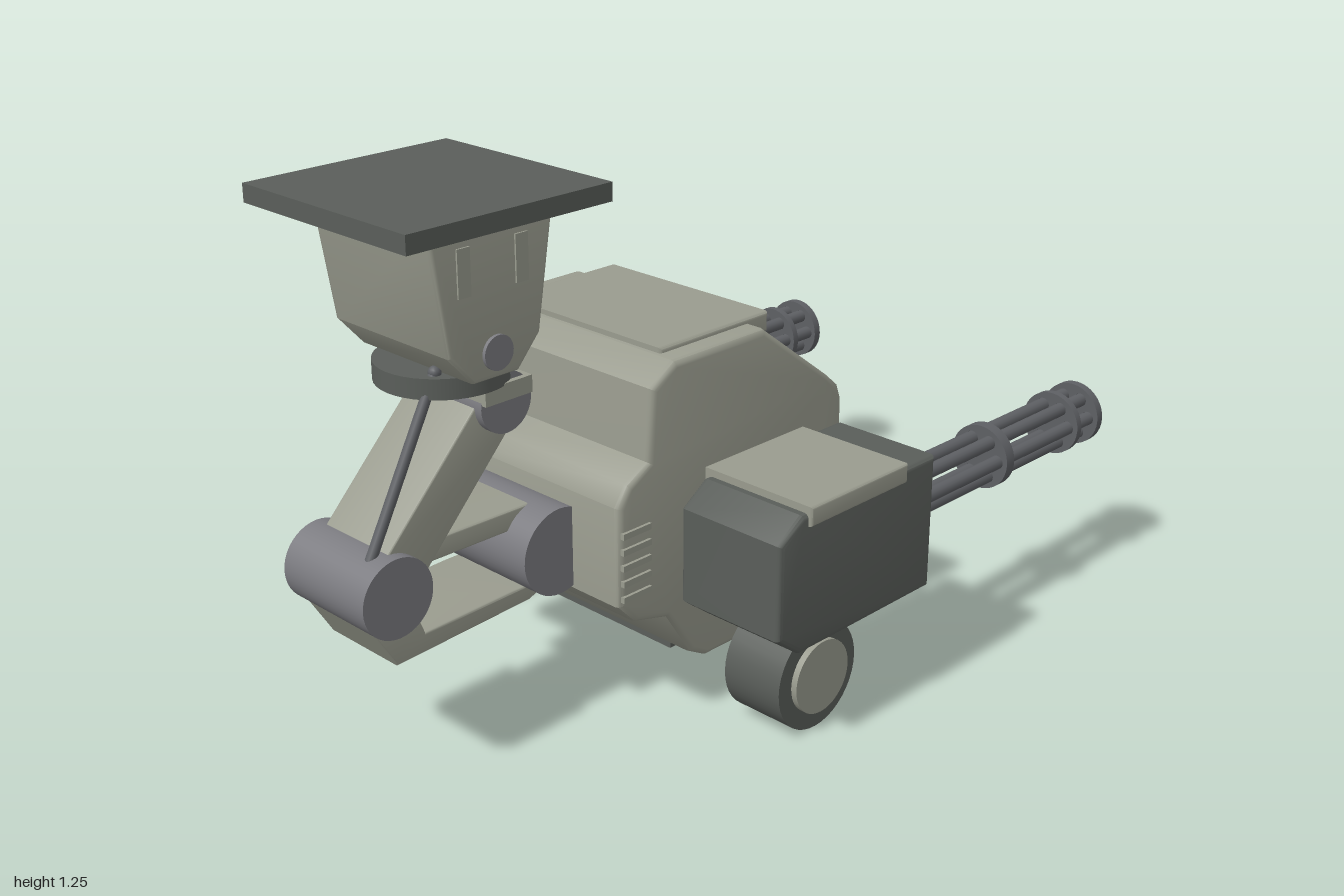
import * as THREE from 'three';
import { toCreasedNormals } from 'three/addons/utils/BufferGeometryUtils.js';

const mat = (name, color) => {
  const m = new THREE.MeshStandardMaterial({ color });
  m.name = name;
  return m;
};

export function createModel() {
  const armour = mat('paleArmour', 0x9a9c8f);
  const dark = mat('darkArmour', 0x5a5e5a);
  const steel = mat('jointSteel', 0x7c7c81);
  const gunmetal = mat('gunmetal', 0x5e6064);
  const bore = mat('bore', 0x333537);
  const pink = mat('pinkMarking', 0xc05070);

  const model = new THREE.Group();
  model.name = 'turret';

  const add = (name, geometry, material, parent = model) => {
    const m = new THREE.Mesh(geometry, material);
    m.name = name;
    parent.add(m);
    return m;
  };

  // Box given by its limits on each axis
  const box = (name, material, [x0, x1], [y0, y1], [z0, z1], parent) => {
    const m = add(name, new THREE.BoxGeometry(x1 - x0, y1 - y0, z1 - z0), material, parent);
    m.position.set((x0 + x1) / 2, (y0 + y1) / 2, (z0 + z1) / 2);
    return m;
  };

  // Cylinder lying along x, from x0 to x1
  const axle = (name, material, r, x0, x1, y, z, parent) => {
    const g = new THREE.CylinderGeometry(r, r, x1 - x0, 40).rotateZ(Math.PI / 2);
    const m = add(name, g, material, parent);
    m.position.set((x0 + x1) / 2, y, z);
    return m;
  };

  // Side profile of [z, y] points, extruded across x with rounded rims
  const slab = (name, material, points, x0, x1, bevel, parent) => {
    const shape = new THREE.Shape(points.map(([z, y]) => new THREE.Vector2(z, y)));
    const g = new THREE.ExtrudeGeometry(shape, {
      depth: x1 - x0 - 2 * bevel, bevelEnabled: bevel > 0, bevelThickness: bevel,
      bevelSize: bevel, bevelOffset: -bevel, bevelSegments: 3,
    });
    g.rotateY(-Math.PI / 2).translate(x1 - bevel, 0, 0);
    return add(name, toCreasedNormals(g, 0.6), material, parent);
  };

  // Main hull
  slab('hull', armour, [
    [0.30, 0.855], [0.02, 0.855], [-0.20, 0.69], [-0.24, 0.655], [-0.253, 0.62], [-0.253, 0.29],
    [-0.19, 0.18], [-0.10, 0.122], [0.20, 0.122], [0.25, 0.15], [0.325, 0.265], [0.42, 0.29],
    [0.468, 0.34], [0.468, 0.57], [0.44, 0.615], [0.38, 0.65], [0.368, 0.81],
  ], -0.305, 0.305, 0.015);
  slab('roofHatch', armour, [[0.29, 0.83], [0.29, 0.867], [-0.05, 0.867], [-0.05, 0.82]], -0.25, 0.25, 0.008);
  box('bellyPlate', dark, [-0.2, 0.2], [0.105, 0.14], [-0.06, 0.21]);

  // Cooling fins on both cheeks of the hull
  for (const s of [-1, 1]) {
    for (let i = 0; i < 5; i++) {
      const y = 0.36 + i * 0.037;
      const fin = box('ventFin', armour, [-0.006, 0.006], [y - 0.007, y + 0.007], [0.38, 0.462]);
      fin.position.x = s * 0.306;
    }
  }

  // Rear marking: dark plate with three discs
  box('rearPlate', dark, [-0.13, 0.13], [0.475, 0.63], [-0.259, -0.25]);
  for (const [x, y, r] of [[0, 0.56, 0.045], [0.052, 0.495, 0.024], [-0.052, 0.495, 0.024]]) {
    const disc = add('rearDisc', new THREE.CylinderGeometry(r, r, 0.006, 28).rotateX(Math.PI / 2), pink);
    disc.position.set(x, y, -0.26);
  }

  // Rotary gun, pointing to -z from its own origin
  const makeGun = () => {
    const gun = new THREE.Group();
    gun.name = 'rotaryGun';
    const along = (name, material, r, z0, z1, x = 0, y = 0, sides = 32) => {
      const g = new THREE.CylinderGeometry(r, r, z0 - z1, sides).rotateX(Math.PI / 2);
      add(name, g, material, gun).position.set(x, y, (z0 + z1) / 2);
    };
    along('gunCollar', steel, 0.07, -0.20, -0.26);
    const ringShape = new THREE.Shape().absarc(0, 0, 0.08, 0, Math.PI * 2);
    for (let i = 0; i < 6; i++) {
      const a = i * Math.PI / 3, x = Math.cos(a) * 0.05, y = Math.sin(a) * 0.05;
      along('barrel', gunmetal, 0.017, -0.25, -0.985, x, y, 14);
      along('barrelBore', bore, 0.0165, -0.985, -0.987, x, y, 14);
      ringShape.holes.push(new THREE.Path().absarc(x, y, 0.0172, 0, Math.PI * 2, true));
    }
    for (const [z, t] of [[-0.615, 0.03], [-0.905, 0.018], [-1.0, 0.022]]) {
      const g = new THREE.ExtrudeGeometry(ringShape, { depth: t, bevelEnabled: false, curveSegments: 18 });
      add('barrelClamp', toCreasedNormals(g, 0.6), gunmetal, gun).position.z = z;
    }
    return gun;
  };

  // Gun pods and wheels, mirrored left and right
  for (const s of [-1, 1]) {
    const side = new THREE.Group();
    side.name = s > 0 ? 'leftPod' : 'rightPod';
    model.add(side);
    const span = (a, b) => (s > 0 ? [a, b] : [-b, -a]);
    axle('podAxle', steel, 0.072, ...span(0.29, 0.34), 0.415, 0.10, side);
    slab('podHousing', dark, [
      [0.235, 0.578], [-0.21, 0.578], [-0.21, 0.257], [0.235, 0.257], [0.305, 0.31], [0.305, 0.53],
    ], ...span(0.325, 0.608), 0.012, side);
    slab('podCover', armour, [[0.22, 0.55], [0.22, 0.595], [-0.10, 0.595], [-0.10, 0.55]],
      ...span(0.312, 0.617), 0.006, side);
    axle('wheel', dark, 0.128, ...span(0.387, 0.545), 0.128, 0.10, side);
    axle('wheelHub', armour, 0.087, ...span(0.54, 0.56), 0.13, 0.10, side);
    const gun = makeGun();
    gun.position.set(s * 0.467, 0.417, 0);
    side.add(gun);
  }

  // Folding arm: shoulder, elbow and the links between them
  axle('shoulderJoint', steel, 0.1, -0.16, 0.16, 0.44, 0.505);
  axle('elbowJoint', steel, 0.088, -0.135, 0.13, 0.467, 0.912);
  slab('upperLink', armour, [[0.88, 0.542], [0.52, 0.537], [0.52, 0.49], [0.88, 0.494]], -0.09, 0.09, 0.005);
  slab('lowerLink', armour, [
    [0.985, 0.43], [0.91, 0.307], [0.55, 0.325], [0.47, 0.36], [0.60, 0.362], [0.835, 0.355], [0.86, 0.42],
  ], -0.112, 0.112, 0.005);
  slab('upperArm', armour, [[0.945, 0.52], [0.65, 0.83], [0.56, 0.76], [0.855, 0.445]], -0.104, 0.104, 0.004);
  axle('wristJoint', steel, 0.067, -0.125, 0.125, 0.802, 0.61);
  box('wristBracket', armour, [-0.138, 0.138], [0.812, 0.85], [0.55, 0.675]);

  // Thin push rod beside the arm
  const rodPath = new THREE.LineCurve3(new THREE.Vector3(0.08, 0.53, 0.945), new THREE.Vector3(0.08, 0.895, 0.755));
  add('pushRod', new THREE.TubeGeometry(rodPath, 1, 0.012, 12), gunmetal);
  add('rodEnd', new THREE.SphereGeometry(0.014, 14, 10), gunmetal).position.copy(rodPath.v2);

  // Turntable and mounting head
  add('turntable', new THREE.CylinderGeometry(0.145, 0.145, 0.045, 40), dark).position.set(0, 0.868, 0.67);
  slab('head', armour, [
    [0.84, 1.22], [0.52, 1.22], [0.563, 0.957], [0.622, 0.89], [0.738, 0.89], [0.798, 0.957],
  ], -0.184, 0.184, 0.01);
  axle('headPivot', steel, 0.037, -0.192, 0.192, 0.945, 0.68);
  for (const s of [-1, 1]) {
    for (const z of [0.757, 0.61]) {
      const rib = box('headRib', armour, [-0.004, 0.004], [1.075, 1.175], [z - 0.016, z + 0.016]);
      rib.position.x = s * 0.184;
    }
  }
  box('mountingPlate', dark, [-0.257, 0.257], [1.215, 1.255], [0.43, 0.945]);

  return model;
}
